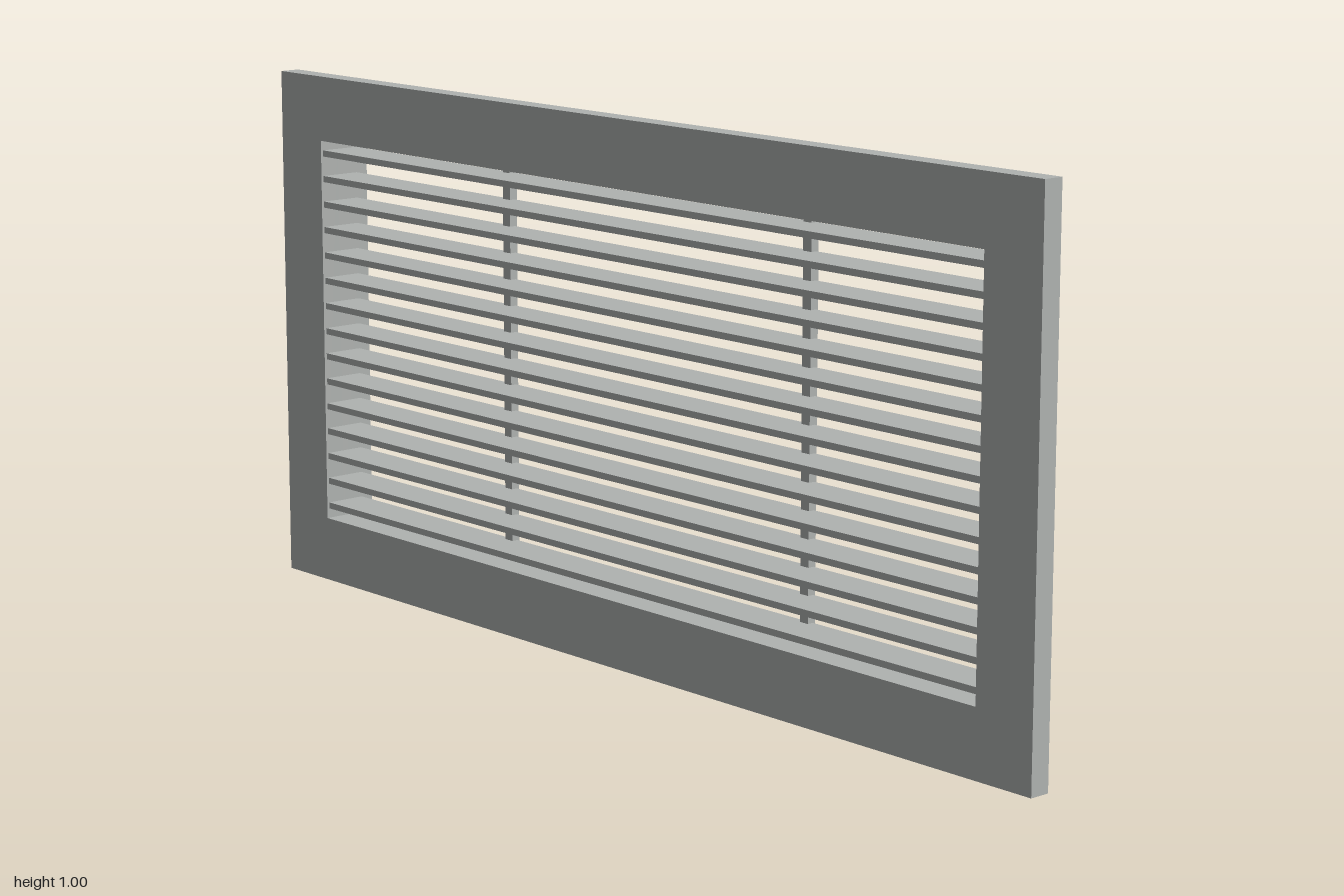
import * as THREE from 'three';

export function createModel() {
  const model = new THREE.Group();
  model.name = 'ventGrille';
  const metal = new THREE.MeshStandardMaterial({ color: 0xb0b3b1 });
  metal.name = 'satin grey metal';

  const openW = 1.75, openH = 0.75, midY = 0.5;

  // Rectangular ring around the opening, from zBack to zFront
  function ring(name, w, h, zBack, zFront) {
    const shape = new THREE.Shape();
    shape.moveTo(-w / 2, -h / 2).lineTo(w / 2, -h / 2).lineTo(w / 2, h / 2).lineTo(-w / 2, h / 2).closePath();
    const hole = new THREE.Path();
    const x = openW / 2, y = openH / 2;
    hole.moveTo(-x, -y).lineTo(-x, y).lineTo(x, y).lineTo(x, -y).closePath();
    shape.holes.push(hole);
    const geo = new THREE.ExtrudeGeometry(shape, { depth: zFront - zBack, bevelEnabled: false });
    const mesh = new THREE.Mesh(geo, metal);
    mesh.name = name;
    mesh.position.set(0, midY, zBack);
    model.add(mesh);
  }

  function bar(name, w, h, x, y, zBack, zFront) {
    const mesh = new THREE.Mesh(new THREE.BoxGeometry(w, h, zFront - zBack), metal);
    mesh.name = name;
    mesh.position.set(x, y, (zBack + zFront) / 2);
    model.add(mesh);
  }

  // Wide front flange and the narrower sleeve behind it
  ring('frontFlange', 2, 1, 0.015, 0.055);
  ring('rearSleeve', 1.78, 0.78, -0.055, 0.015);

  // Horizontal slats
  for (let i = 0; i < 15; i++) bar('slat', openW, 0.012, 0, 0.15 + i * 0.05, -0.03, 0.05);

  // Two upright supports behind the slats
  for (const side of [-1, 1]) bar('uprightSupport', 0.02, openH, side * 0.4, midY, -0.035, -0.018);

  return model;
}
